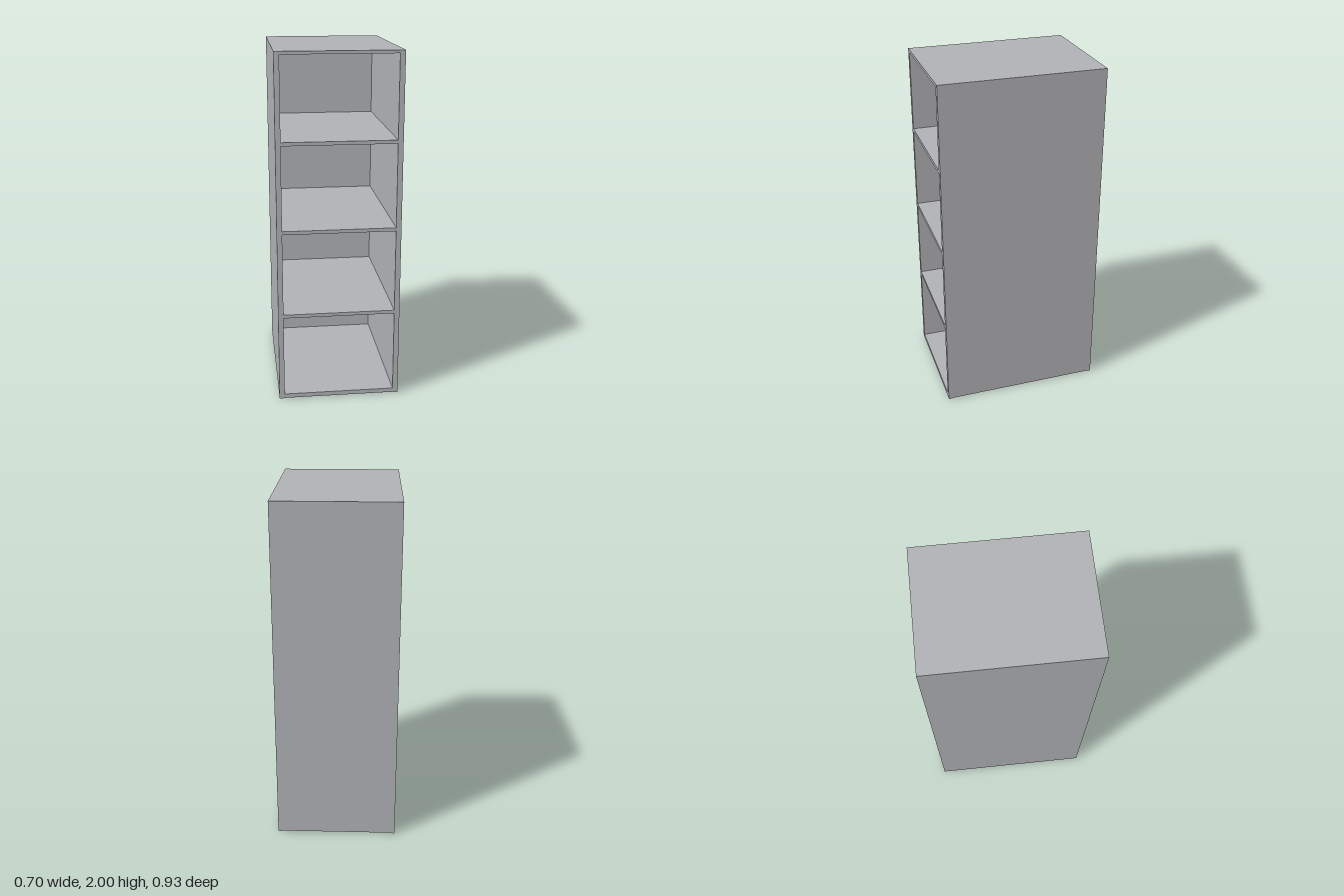
import * as THREE from 'three';

export function createModel() {
  const group = new THREE.Group();
  group.name = 'openShelfCabinet';
  const grey = new THREE.MeshStandardMaterial({ color: 0xb0b1b5 });
  grey.name = 'light grey';

  // Adds a panel given its extents on each axis
  const panel = (name, [x0, x1], [y0, y1], [z0, z1]) => {
    const mesh = new THREE.Mesh(new THREE.BoxGeometry(x1 - x0, y1 - y0, z1 - z0), grey);
    mesh.position.set((x0 + x1) / 2, (y0 + y1) / 2, (z0 + z1) / 2);
    mesh.name = name;
    group.add(mesh);
  };

  const W = 0.348, D = 0.466, inner = 0.318, backFront = -0.45;

  // Side walls
  panel('leftSide', [inner, W], [0.005, 2], [-D, D]);
  panel('rightSide', [-W, -inner], [0.005, 2], [-D, D]);

  // Back panel between the sides
  panel('back', [-inner, inner], [0.005, 2], [-D, backFront]);

  // Base, three shelves and top
  const boards = [
    ['base', 0.005, 0.03],
    ['lowerShelf', 0.507, 0.527],
    ['middleShelf', 1.003, 1.023],
    ['upperShelf', 1.5, 1.52],
    ['top', 1.983, 2],
  ];
  for (const [name, y0, y1] of boards) panel(name, [-inner, inner], [y0, y1], [backFront, D]);

  // Low feet under the front and back corners
  for (const sx of [-1, 1]) for (const sz of [-1, 1]) {
    const x = sx * (W - 0.012), z = sz * (D - 0.012);
    panel('cornerFoot', [x - 0.01, x + 0.01], [0, 0.005], [z - 0.01, z + 0.01]);
  }
  return group;
}
